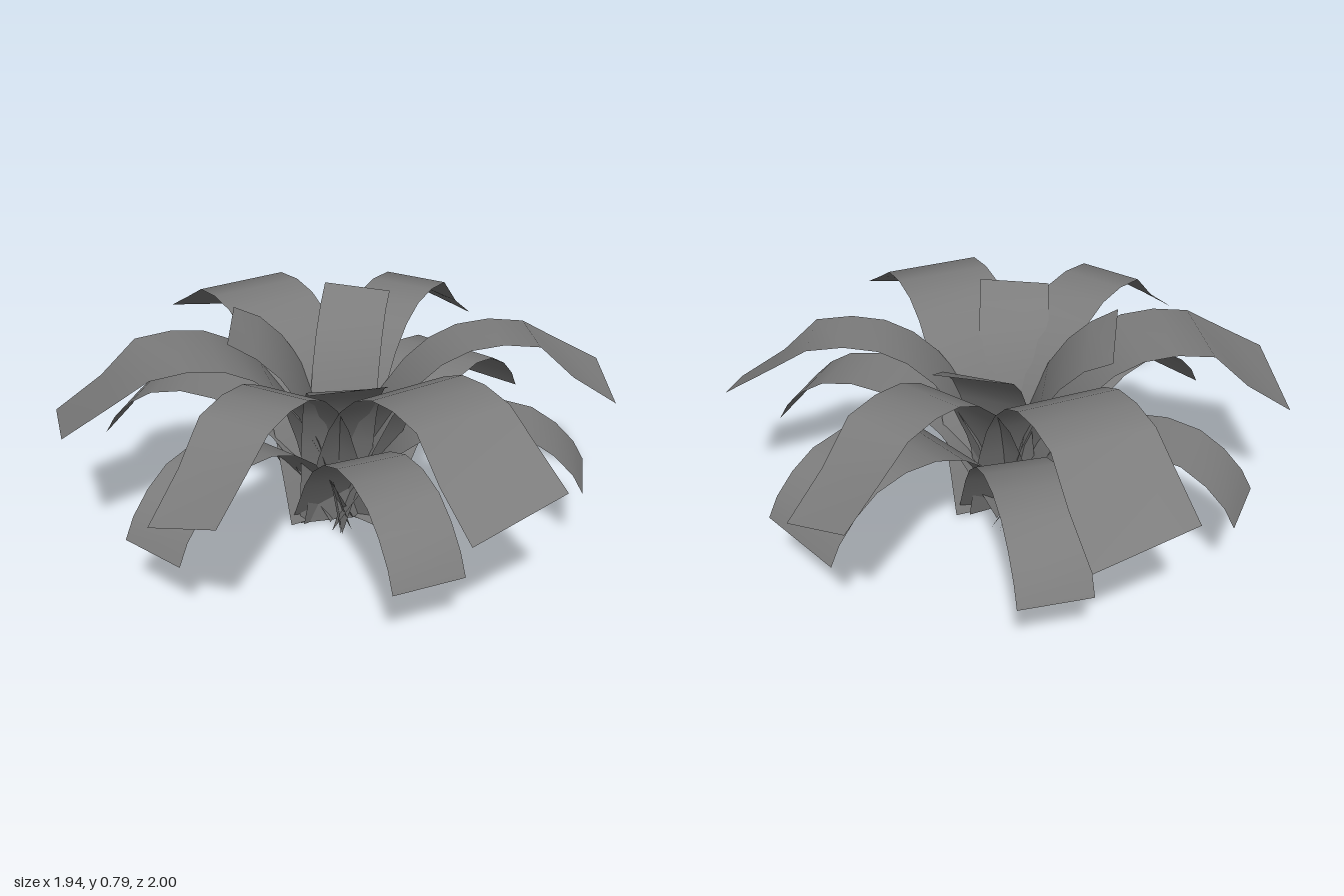
import * as THREE from 'three';

const material = new THREE.MeshStandardMaterial({ color: 0x7c7c7c, side: THREE.DoubleSide });

// Leaf rows from base to tip: [distance out, height, edge tilt]
const LOWER = [
  [0, 0.012, 0], [0.07, 0.13, 0], [0.14, 0.245, 0], [0.22, 0.345, 0], [0.32, 0.425, 0],
  [0.44, 0.477, 0], [0.57, 0.492, 0], [0.69, 0.47, 0], [0.78, 0.415, 0], [0.85, 0.345, 0], [0.89, 0.275, 0],
];
const UPPER = [
  [0, 0.006, 0.006], [0.05, 0.17, 0], [0.11, 0.34, 0], [0.18, 0.485, 0], [0.26, 0.595, 0],
  [0.35, 0.675, 0], [0.45, 0.722, 0], [0.57, 0.737, 0], [0.70, 0.722, 0], [0.83, 0.622, 0.025],
  [1.0, 0.517, 0.035],
];
const INNER = [
  [0, 0.006, 0.006], [0.03, 0.2, 0], [0.08, 0.4, 0], [0.14, 0.55, 0],
  [0.21, 0.655, 0], [0.29, 0.73, 0], [0.385, 0.777, 0.008],
];

// A thin strip that follows a profile and ends with its tip centred at (tipX, tipZ)
function makeLeaf(name, profile, [tipX, tipZ, degrees, width, rise = 1]) {
  const a = THREE.MathUtils.degToRad(degrees);
  const dx = Math.cos(a), dz = Math.sin(a);
  const reach = profile[profile.length - 1][0];
  const positions = [], index = [];
  profile.forEach(([r, y, tilt], i) => {
    for (const side of [-1, 1]) {
      const s = side * width / 2;
      positions.push(tipX + dx * (r - reach) + dz * s, y * rise + side * tilt, tipZ + dz * (r - reach) - dx * s);
    }
    if (i > 0) {
      const k = 2 * i;
      index.push(k - 2, k, k - 1, k, k + 1, k - 1);
    }
  });
  const geometry = new THREE.BufferGeometry();
  geometry.setAttribute('position', new THREE.Float32BufferAttribute(positions, 3));
  geometry.setIndex(index);
  geometry.computeVertexNormals();
  const mesh = new THREE.Mesh(geometry, material);
  mesh.name = name;
  return mesh;
}

// Each leaf: [tip x, tip z, heading in degrees from +x towards +z, width, optional height factor]
const tiers = {
  lowerLeaf: [LOWER, [
    [0.65, 0.605, 39, 0.25], [-0.205, 0.87, 100, 0.25], [-0.88, 0.18, 166, 0.25],
    [-0.65, -0.61, 219, 0.25], [0.203, -0.871, 280, 0.36], [0.855, -0.26, 342, 0.25],
  ]],
  upperLeaf: [UPPER, [
    [0.88, 0.475, 30, 0.36], [0.02, 1, 89.5, 0.25], [-0.73, 0.67, 135, 0.36],
    [-0.88, -0.48, 210, 0.36], [-0.03, -1, 269.5, 0.25], [0.82, -0.565, 324, 0.24],
  ]],
  innerLeaf: [INNER, [
    [0.24, 0.365, 54, 0.26, 0.955], [-0.34, 0.17, 150, 0.37], [-0.12, -0.37, 252, 0.25],
  ]],
};

export function createModel() {
  const plant = new THREE.Group();
  plant.name = 'leafyPlant';
  for (const [name, [profile, leaves]] of Object.entries(tiers)) {
    const tier = new THREE.Group();
    tier.name = name + 'Tier';
    leaves.forEach((leaf) => tier.add(makeLeaf(name, profile, leaf)));
    plant.add(tier);
  }
  return plant;
}
